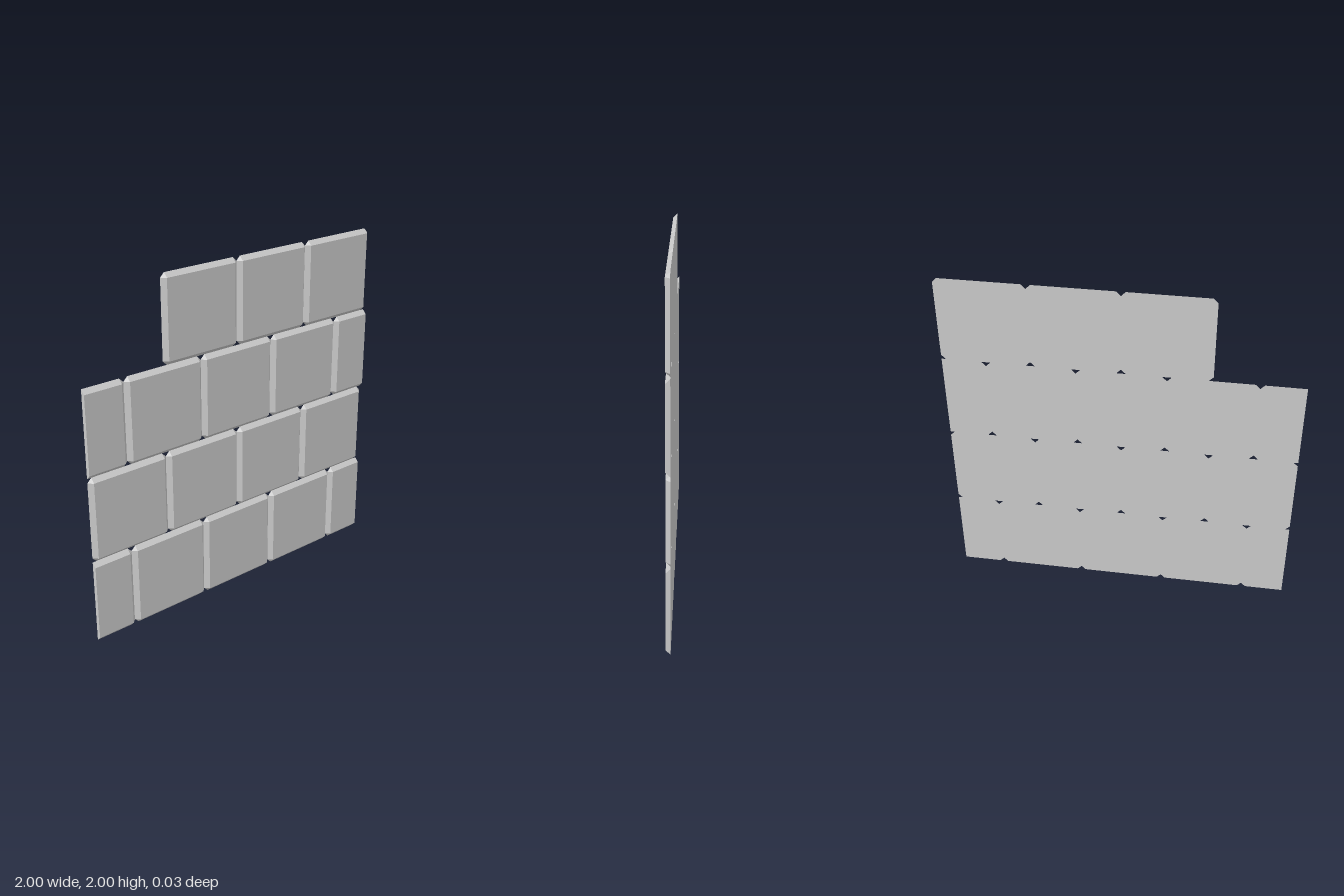
import * as THREE from 'three';

const BEVEL = 0.025; // bevel width and corner cut
const FRONT = 0.0125, BACK = -0.0125;
const HEIGHT = 0.5;

// Bevelled block: chamfered outline at the back, inset rectangle at the front.
// l and r are the side bevels; 0 gives a straight cut end.
function blockGeometry(x0, x1, y0, y1, l, r) {
  const b = BEVEL;
  // Counter-clockwise outlines seen from the front, two points per corner
  const back = [
    [x0, y0 + l], [x0 + l, y0], [x1 - r, y0], [x1, y0 + r],
    [x1, y1 - r], [x1 - r, y1], [x0 + l, y1], [x0, y1 - l],
  ].map(([x, y]) => new THREE.Vector3(x, y, BACK));
  const front = [
    [x0 + l, y0 + b], [x1 - r, y0 + b], [x1 - r, y1 - b], [x0 + l, y1 - b],
  ].flatMap(([x, y]) => [new THREE.Vector3(x, y, FRONT), new THREE.Vector3(x, y, FRONT)]);

  const points = [];
  const tri = (p, q, s) => {
    if (new THREE.Triangle(p, q, s).getArea() > 1e-8) points.push(p, q, s);
  };
  for (let i = 0; i < 8; i++) {
    const j = (i + 1) % 8;
    tri(back[i], back[j], front[j]);
    tri(back[i], front[j], front[i]);
  }
  for (let i = 1; i < 7; i++) {
    tri(front[0], front[i], front[i + 1]);
    tri(back[0], back[i + 1], back[i]);
  }
  const geometry = new THREE.BufferGeometry().setFromPoints(points);
  geometry.computeVertexNormals();
  return geometry;
}

export function createModel() {
  const wall = new THREE.Group();
  wall.name = 'brickWall';
  const material = new THREE.MeshStandardMaterial({ color: 0xcccccc, flatShading: true });

  // Joint positions of each course, bottom to top
  const halfCourse = [-1, -0.75, -0.25, 0.25, 0.75, 1];
  const courses = [
    halfCourse,
    [-1, -0.5, 0, 0.5, 1],
    halfCourse,
    [-0.5, 0, 0.5, 1],
  ];

  courses.forEach((joints, row) => {
    const course = new THREE.Group();
    course.name = `course${row + 1}`;
    for (let i = 0; i < joints.length - 1; i++) {
      const x0 = joints[i], x1 = joints[i + 1];
      const half = x1 - x0 < 0.4;
      // Half bricks have a straight cut on the outer side
      const l = half && x0 < 0 ? 0 : BEVEL;
      const r = half && x0 > 0 ? 0 : BEVEL;
      const brick = new THREE.Mesh(
        blockGeometry(x0, x1, row * HEIGHT, (row + 1) * HEIGHT, l, r), material);
      brick.name = half ? 'halfBrick' : 'brick';
      course.add(brick);
    }
    wall.add(course);
  });
  return wall;
}
